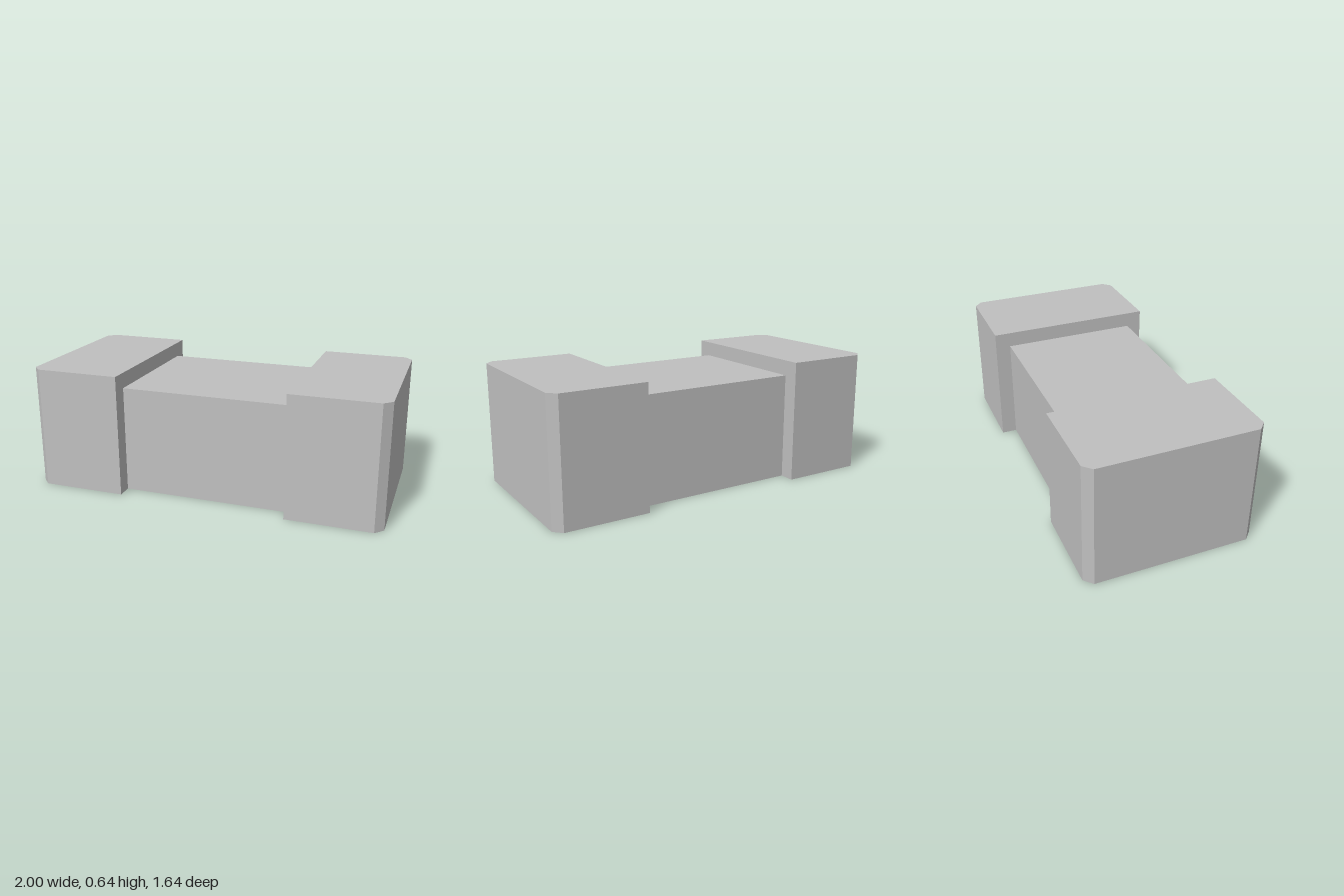
import * as THREE from 'three';

const INNER = 0.44, END = 0.923;     // span of each end block along the axis
const CAP_HALF = 0.44, CAP_H = 0.64; // end block half width and height
const MID_HALF = 0.36, MID_H = 0.56; // bridge half width and height
const CHAMFER = 0.042;

const shapeOf = (pts) => new THREE.ShapeGeometry(new THREE.Shape(pts.map(([x, y]) => new THREE.Vector2(x, y))));

// Upright panel from plan point a to b; it faces right of the walking direction seen from above with z down
function wall([ax, az], [bx, bz], height) {
  const geo = new THREE.PlaneGeometry(Math.hypot(bx - ax, bz - az), height);
  geo.rotateY(-Math.atan2(bz - az, bx - ax));
  return geo.translate((ax + bx) / 2, height / 2, (az + bz) / 2);
}

export function createModel() {
  const grey = new THREE.MeshStandardMaterial({ color: 0xc0c0c0, side: THREE.DoubleSide });
  grey.name = 'plainGrey';

  const add = (parent, name, geo) => {
    const mesh = new THREE.Mesh(geo, grey);
    mesh.name = name;
    parent.add(mesh);
  };

  // Hollow end block, open underneath and towards the bridge
  function endBlock(name) {
    const g = new THREE.Group();
    g.name = name;
    const outline = [
      [INNER, CAP_HALF], [END - CHAMFER, CAP_HALF], [END, CAP_HALF - CHAMFER],
      [END, -CAP_HALF + CHAMFER], [END - CHAMFER, -CAP_HALF], [INNER, -CAP_HALF],
    ];
    for (let i = 0; i < outline.length - 1; i++) {
      add(g, 'outerWall', wall(outline[i], outline[i + 1], CAP_H));
    }
    add(g, 'roof', shapeOf(outline).rotateX(-Math.PI / 2).translate(0, CAP_H, 0));
    // Step surrounding the bridge opening
    const step = shapeOf([
      [-CAP_HALF, 0], [-MID_HALF, 0], [-MID_HALF, MID_H], [MID_HALF, MID_H],
      [MID_HALF, 0], [CAP_HALF, 0], [CAP_HALF, CAP_H], [-CAP_HALF, CAP_H],
    ]);
    add(g, 'stepWall', step.rotateY(-Math.PI / 2).translate(INNER, 0, 0));
    return g;
  }

  const body = new THREE.Group();
  body.name = 'body';
  const leftBlock = endBlock('leftEndBlock');
  const rightBlock = endBlock('rightEndBlock');
  rightBlock.rotation.y = Math.PI;
  body.add(leftBlock, rightBlock);

  // Lower bridge between the blocks
  const bridge = new THREE.Group();
  bridge.name = 'bridge';
  add(bridge, 'frontWall', wall([-INNER, MID_HALF], [INNER, MID_HALF], MID_H));
  add(bridge, 'backWall', wall([INNER, -MID_HALF], [-INNER, -MID_HALF], MID_H));
  add(bridge, 'roof', new THREE.PlaneGeometry(2 * INNER, 2 * MID_HALF).rotateX(-Math.PI / 2).translate(0, MID_H, 0));
  body.add(bridge);

  body.rotation.y = -Math.PI / 6;
  const model = new THREE.Group();
  model.name = 'block';
  model.add(body);
  return model;
}
